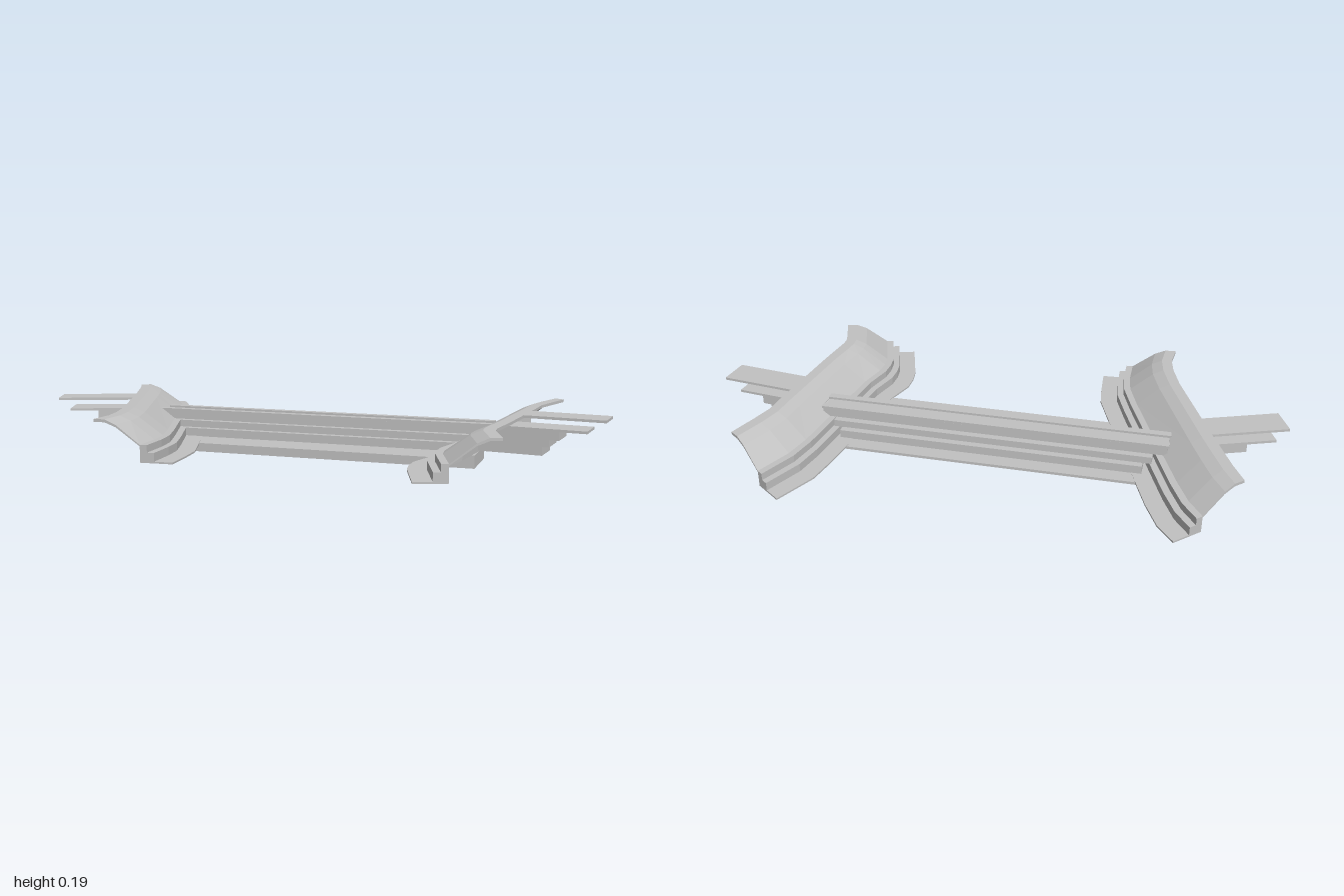
import * as THREE from 'three';

const stone = new THREE.MeshStandardMaterial({ color: 0xc2c2c2, side: THREE.DoubleSide, flatShading: true });
stone.name = 'paleGrey';

// Bank cross-section: [distance from outer edge, height]
const WIDTH = 0.28;
const PROFILE = [
  [0, 0.19], [0.04, 0.19], [0.08, 0.173], [0.165, 0.11], [0.19, 0.11], [0.19, 0.085],
  [0.215, 0.085], [0.215, 0.056], [0.28, 0.056], [0.28, 0.05], [0.165, 0.05],
  [0.165, 0.105], [0.08, 0.165], [0.04, 0.18], [0, 0.18],
];

// Sweep the cross-section along stations [outerX, outerZ, innerX, innerZ]
function bank(name, stations) {
  const rings = stations.map(([ox, oz, ix, iz]) => PROFILE.map(([t, y]) => {
    const k = t / WIDTH;
    return [ox + (ix - ox) * k, y, oz + (iz - oz) * k];
  }));
  const pos = [];
  const n = PROFILE.length;
  for (let i = 0; i < rings.length - 1; i++) {
    for (let j = 0; j < n; j++) {
      const a = rings[i][j], b = rings[i][(j + 1) % n];
      const c = rings[i + 1][(j + 1) % n], d = rings[i + 1][j];
      pos.push(...a, ...b, ...c, ...a, ...c, ...d);
    }
  }
  // End caps
  const caps = THREE.ShapeUtils.triangulateShape(PROFILE.map(p => new THREE.Vector2(...p)), []);
  for (const ring of [rings[0], rings[rings.length - 1]]) {
    for (const f of caps) f.forEach(k => pos.push(...ring[k]));
  }
  const g = new THREE.BufferGeometry();
  g.setAttribute('position', new THREE.Float32BufferAttribute(pos, 3));
  g.computeVertexNormals();
  const mesh = new THREE.Mesh(g, stone);
  mesh.name = name;
  return mesh;
}

// Straight box running from a to b in plan, between two heights
function beam(name, [ax, az], [bx, bz], width, y0, y1) {
  const len = Math.hypot(bx - ax, bz - az);
  const mesh = new THREE.Mesh(new THREE.BoxGeometry(len, y1 - y0, width), stone);
  mesh.position.set((ax + bx) / 2, (y0 + y1) / 2, (az + bz) / 2);
  mesh.rotation.y = -Math.atan2(bz - az, bx - ax);
  mesh.name = name;
  return mesh;
}

export function createModel() {
  const model = new THREE.Group();
  model.name = 'crossing';

  model.add(bank('rightBank', [
    [-0.75, -0.585, -0.50, -0.71], [-0.738, -0.5, -0.468, -0.62], [-0.73, -0.4, -0.455, -0.5],
    [-0.722, -0.3, -0.45, -0.36], [-0.70, 0.08, -0.435, 0.08], [-0.703, 0.19, -0.432, 0.21],
    [-0.715, 0.27, -0.45, 0.3], [-0.75, 0.35, -0.48, 0.42],
  ]));
  model.add(bank('leftBank', [
    [0.55, 0.71, 0.28, 0.71], [0.55, 0.575, 0.28, 0.52], [0.56, 0.54, 0.29, 0.46],
    [0.58, 0.5, 0.31, 0.40], [0.625, 0.41, 0.375, 0.31], [0.77, 0.1, 0.54, -0.04],
    [0.805, 0.02, 0.59, -0.14], [0.855, -0.05, 0.645, -0.24], [0.92, -0.135, 0.76, -0.36],
  ]));

  // Span: beams along a slanted axis, offset sideways by s
  const ux = 0.95, uz = 0.31;
  const span = (name, half, s, zc, width, y0, y1) => {
    const cx = 0.01 - uz * s, cz = zc + ux * s;
    model.add(beam(name, [cx - ux * half, cz - uz * half], [cx + ux * half, cz + uz * half], width, y0, y1));
  };
  span('foundation', 0.585, 0, -0.035, 0.2, 0, 0.046);
  span('deck', 0.55, 0, -0.011, 0.388, 0.045, 0.055);
  span('lowerStep', 0.55, 0, -0.05, 0.2, 0.055, 0.085);
  span('middleStep', 0.58, 0, -0.05, 0.15, 0.085, 0.11);
  span('ridge', 0.63, 0, -0.05, 0.1, 0.11, 0.14);
  for (const s of [-0.036, 0.036]) span('ridgeRail', 0.635, s, -0.05, 0.028, 0.14, 0.148);

  // Arms: a top path over layers that shorten downwards; rows are [start, end, y0, y1]
  const arm = (side, [x0, z0], [x1, z1], layers) => {
    const at = x => [x, z0 + (z1 - z0) * (x - x0) / (x1 - x0)];
    layers.forEach(([a, b, y0, y1], i) =>
      model.add(beam(side + (i ? 'ArmLayer' : 'ArmPath'), at(a), at(b), 0.113, y0, y1)));
  };
  arm('right', [-0.7, -0.242], [-1, -0.227], [
    [-0.69, -0.998, 0.181, 0.19], [-0.64, -0.955, 0.14, 0.149], [-0.6, -0.85, 0.11, 0.14],
    [-0.56, -0.68, 0.085, 0.11], [-0.54, -0.6, 0.055, 0.085],
  ]);
  arm('left', [0.7, 0.2], [0.97, 0.328], [
    [0.69, 0.97, 0.181, 0.19], [0.64, 0.915, 0.14, 0.149], [0.61, 0.83, 0.11, 0.14],
    [0.57, 0.80, 0.085, 0.11], [0.55, 0.78, 0.055, 0.085],
  ]);
  return model;
}
